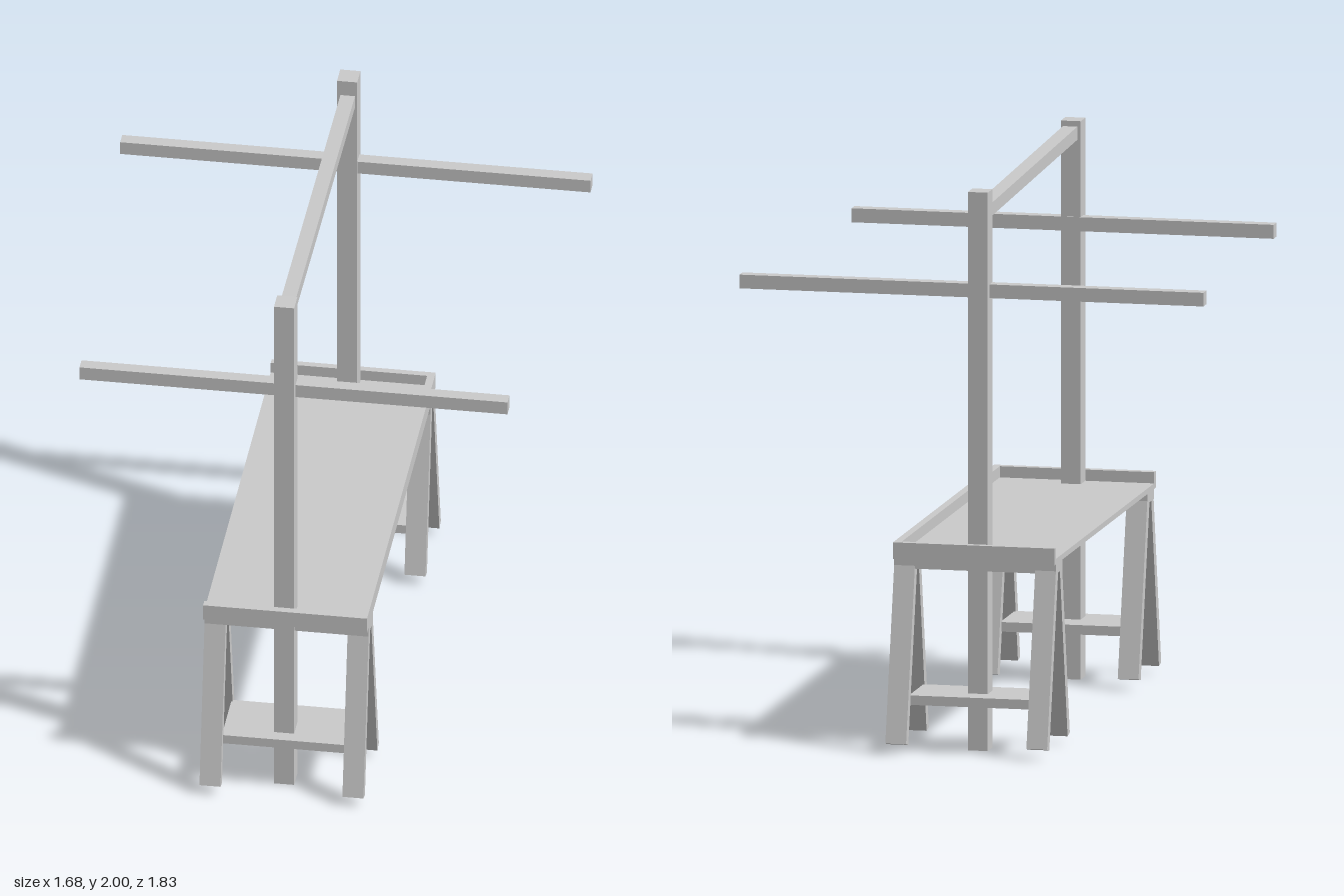
import * as THREE from 'three';

const material = new THREE.MeshStandardMaterial({ color: 0xcccccc, flatShading: true });

// Box given by its min/max extents on each axis
function box(name, [x0, x1], [y0, y1], [z0, z1]) {
  const mesh = new THREE.Mesh(new THREE.BoxGeometry(x1 - x0, y1 - y0, z1 - z0), material);
  mesh.name = name;
  mesh.position.set((x0 + x1) / 2, (y0 + y1) / 2, (z0 + z1) / 2);
  return mesh;
}

// Straight beam in the y-z plane, from one centre point to another
function beam(name, x, width, depth, [yA, zA], [yB, zB]) {
  const dy = yB - yA, dz = zB - zA;
  const mesh = new THREE.Mesh(new THREE.BoxGeometry(width, Math.hypot(dy, dz), depth), material);
  mesh.name = name;
  mesh.position.set(x, (yA + yB) / 2, (zA + zB) / 2);
  mesh.rotation.x = Math.atan2(dz, dy);
  return mesh;
}

// Trestle with four splayed legs, a top beam and a low shelf board
function trestle(name, shelfY) {
  const group = new THREE.Group();
  group.name = name;
  group.add(box('trestleTop', [-0.315, 0.27], [0.645, 0.68], [-0.052, 0.055]));
  for (const x of [-0.2775, 0.2325]) {
    group.add(beam('outerLeg', x, 0.075, 0.037, [0.036, 0.153], [0.66, 0.028]));
    group.add(beam('innerLeg', x, 0.075, 0.037, [0.036, -0.175], [0.66, -0.032]));
  }
  group.add(box('shelfBoard', [-0.245, 0.2], [shelfY, shelfY + 0.034], [-0.126, 0.106]));
  return group;
}

export function createModel() {
  const model = new THREE.Group();
  model.name = 'trestleTableWithFrame';

  // Trestles
  const front = trestle('frontTrestle', 0.181);
  front.position.z = 0.746;
  const back = trestle('backTrestle', 0.17);
  back.position.z = -0.716;
  model.add(front, back);

  // Table top with a raised rim on three sides
  model.add(
    box('tableTop', [-0.315, 0.245], [0.68, 0.7], [-0.765, 0.805]),
    box('frontRim', [-0.315, 0.27], [0.68, 0.74], [0.803, 0.832]),
    box('backRim', [-0.315, 0.27], [0.68, 0.74], [-0.788, -0.763]),
    box('sideRim', [0.243, 0.27], [0.68, 0.74], [-0.763, 0.803])
  );

  // Tall posts
  model.add(
    box('frontPost', [-0.066, 0.006], [0, 2], [0.73, 0.805]),
    box('backPost', [-0.066, 0.006], [0, 2], [-0.757, -0.682])
  );

  // Cross arms and the sloping rail joining the posts
  model.add(
    box('frontCrossArm', [-0.765, 0.762], [1.607, 1.657], [0.725, 0.772]),
    box('backCrossArm', [-0.84, 0.838], [1.618, 1.667], [-0.731, -0.683]),
    beam('topRail', -0.028, 0.052, 0.047, [1.957, 0.735], [1.918, -0.687])
  );

  return model;
}
